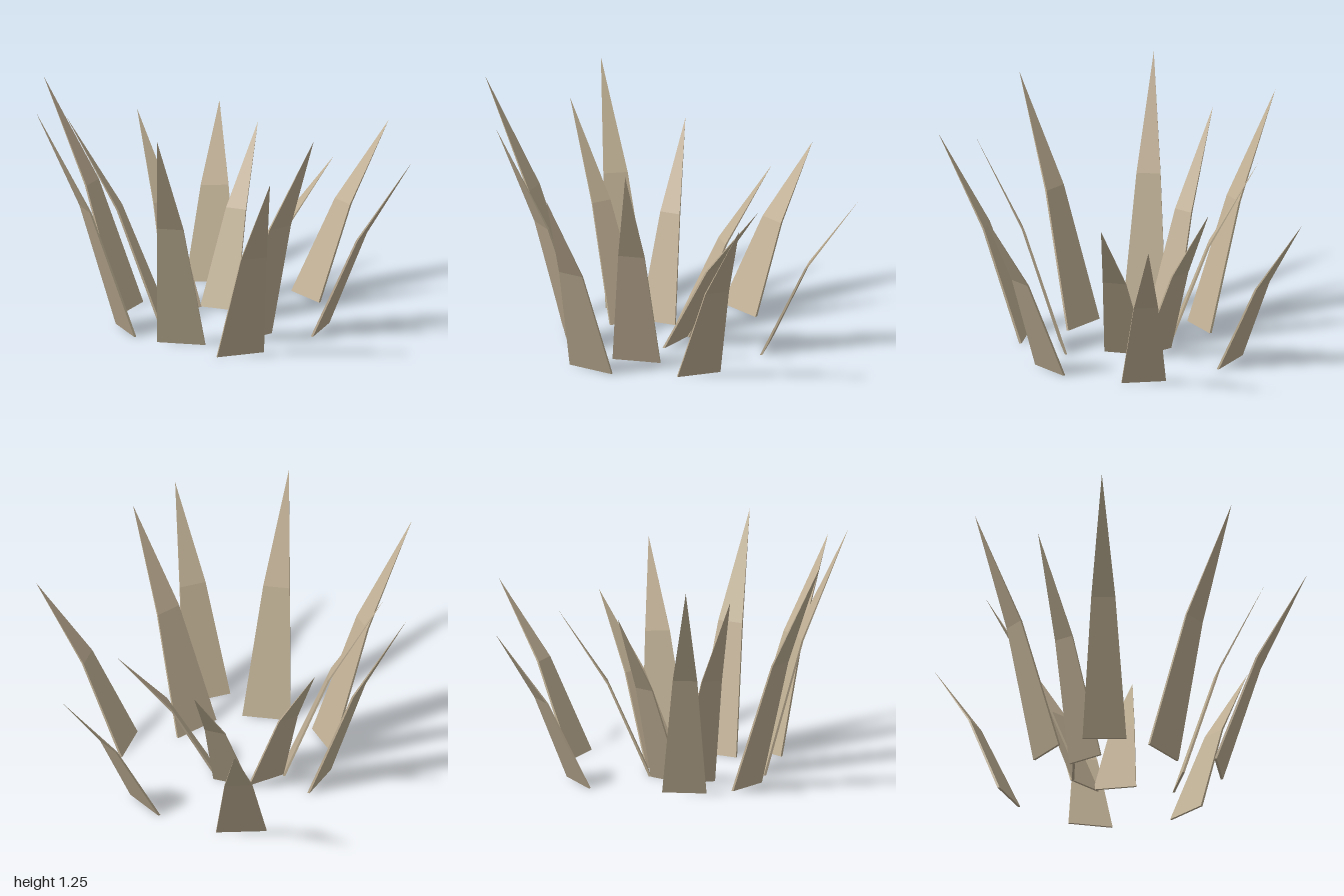
import * as THREE from 'three';

// Each blade in plan: base corner A (x, z), base corner B (x, z), tip (x, z), tip height
const BLADES = [
  [-0.02, -0.60, 0.23, -0.54, 0.26, -0.99, 0.82],
  [-0.31, -0.36, -0.47, -0.20, -0.77, -0.58, 1.18],
  [-0.23, -0.19, -0.31, -0.015, -0.735, -0.26, 1.07],
  [-0.23, -0.17, -0.04, -0.21, -0.27, -0.62, 0.95],
  [-0.04, -0.22, 0.12, -0.11, 0.34, -0.52, 0.86],
  [0.47, -0.33, 0.56, -0.12, 0.99, -0.375, 0.86],
  [0.10, -0.13, 0.10, 0.09, 0.61, -0.025, 0.82],
  [0.39, 0.375, 0.525, 0.19, 0.88, 0.52, 0.95],
  [-0.025, 0.36, 0.205, 0.265, 0.31, 0.72, 1.18],
  [-0.155, 0.55, 0.095, 0.535, 0.01, 0.99, 1.065],
  [-0.39, 0.25, -0.165, 0.355, -0.51, 0.70, 1.25],
  [-0.52, -0.07, -0.48, 0.15, -0.995, 0.12, 1.25],
];

// Thin pointed blade: base ring, bent middle ring, single tip
function bladeGeometry([ax, az, bx, bz, tx, tz, height]) {
  let a = new THREE.Vector3(ax, 0, az);
  let b = new THREE.Vector3(bx, 0, bz);
  const tip = new THREE.Vector3(tx, height, tz);

  // Horizontal normal of the base edge, pointing the way the blade leans
  const edge = b.clone().sub(a);
  const out = new THREE.Vector3(-edge.z, 0, edge.x).normalize();
  const lean = tip.clone().sub(a.clone().lerp(b, 0.5));
  if (out.dot(lean) < 0) {
    out.negate();
    [a, b] = [b, a];
  }

  const ring = (t, y, half) => {
    const place = (p, s) => {
      const v = p.clone().lerp(tip, t).addScaledVector(out, s * half);
      v.y = y;
      return v;
    };
    return [place(a, -1), place(b, -1), place(b, 1), place(a, 1)];
  };
  const base = ring(0, 0, 0.006);
  const mid = ring(0.45, height * 0.55, 0.005);

  const points = [base[0], base[1], base[2], base[0], base[2], base[3]];
  for (let i = 0; i < 4; i++) {
    const j = (i + 1) % 4;
    points.push(base[j], base[i], mid[i], base[j], mid[i], mid[j]);
    points.push(mid[j], mid[i], tip);
  }
  const geometry = new THREE.BufferGeometry().setFromPoints(points);
  geometry.computeVertexNormals();
  return geometry;
}

export function createModel() {
  const group = new THREE.Group();
  group.name = 'grassClump';
  const dryGrass = new THREE.MeshStandardMaterial({ color: 0xbfaf94 });
  dryGrass.name = 'dryGrass';

  BLADES.forEach((blade, i) => {
    const mesh = new THREE.Mesh(bladeGeometry(blade), dryGrass);
    mesh.name = `blade${i + 1}`;
    group.add(mesh);
  });
  return group;
}
